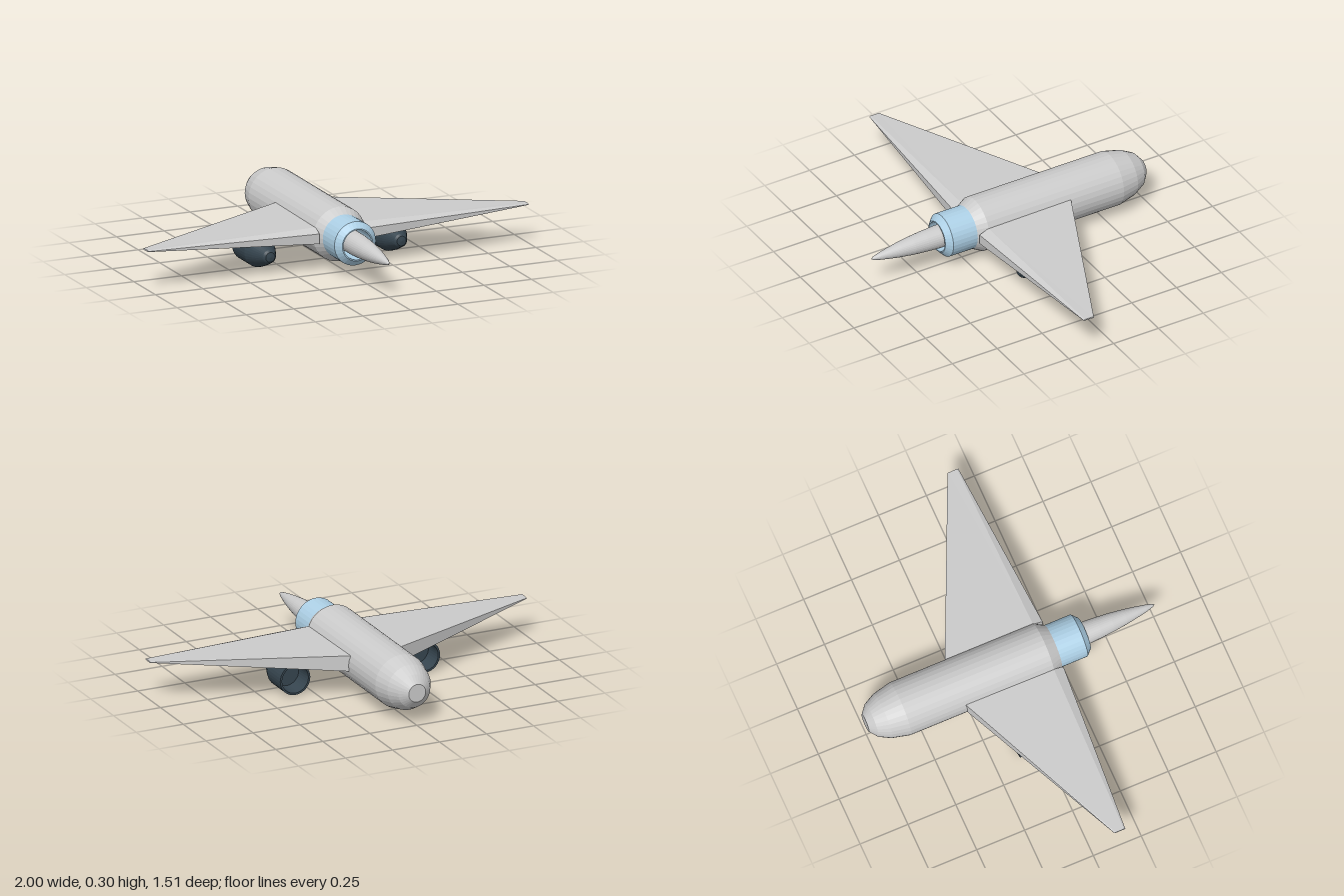
import * as THREE from 'three';

const AXIS_Y = 0.168;
const paint = (color, side = THREE.FrontSide) =>
  new THREE.MeshStandardMaterial({ color, side, flatShading: true });
const grey = paint(0xcccccc);
const blue = paint(0xadd0e6);
const dark = paint(0x36454f, THREE.DoubleSide);

// Round part along z; profile holds [radius, z] from back to front.
function turned(name, profile, material, x = 0, y = AXIS_Y, sides = 32) {
  const points = profile.map(([r, z]) => new THREE.Vector2(r, z));
  const geometry = new THREE.LatheGeometry(points, sides).rotateX(Math.PI / 2);
  const mesh = new THREE.Mesh(geometry, material);
  mesh.name = name;
  mesh.position.set(x, y, 0);
  return mesh;
}

// Wing lofted from a root section to a tip section of [y, z] points.
function wing(name, side) {
  const root = [[0.14, 0.17], [0.145, 0.225], [0.195, 0.225], [0.215, 0.175],
    [0.22, -0.285], [0.165, -0.285], [0.14, -0.285]];
  const tip = [[0.191, 0.118], [0.192, 0.165], [0.195, 0.167], [0.199, 0.16],
    [0.199, 0.116], [0.196, 0.11], [0.193, 0.11]];
  const n = root.length;
  const positions = [];
  for (const [x, section] of [[0.125, root], [1, tip]]) {
    for (const [y, z] of section) positions.push(side * x, y, z);
  }
  const index = [];
  const face = (a, b, c) => (side > 0 ? index.push(a, b, c) : index.push(a, c, b));
  for (let i = 0; i < n; i++) {
    const j = (i + 1) % n;
    face(i, n + i, n + j);
    face(i, n + j, j);
  }
  // Close the root and the tip
  for (let i = 1; i < n - 1; i++) {
    face(0, i, i + 1);
    face(n, n + i + 1, n + i);
  }
  const geometry = new THREE.BufferGeometry();
  geometry.setAttribute('position', new THREE.Float32BufferAttribute(positions, 3));
  geometry.setIndex(index);
  const flat = geometry.toNonIndexed();
  flat.computeVertexNormals();
  const mesh = new THREE.Mesh(flat, paint(0xcccccc, THREE.DoubleSide));
  mesh.name = name;
  return mesh;
}

export function createModel() {
  const model = new THREE.Group();
  model.name = 'aircraft';

  // Body with a domed, flat-ended tail
  model.add(turned('fuselage', [[0, -0.755], [0.045, -0.755], [0.085, -0.722],
    [0.115, -0.665], [0.136, -0.575], [0.136, 0.175], [0.109, 0.225], [0, 0.225]], grey));

  // Hollow intake ring around the spike
  model.add(turned('intakeRing', [[0.109, 0.22], [0.109, 0.36], [0.08, 0.388],
    [0.074, 0.388], [0.074, 0.22]], blue));

  // Pointed nose cone
  model.add(turned('noseSpike', [[0.056, 0.22], [0.056, 0.39], [0.052, 0.46], [0.046, 0.53],
    [0.037, 0.6], [0.027, 0.66], [0.017, 0.71], [0.008, 0.743], [0, 0.755]], grey));

  for (const [label, side] of [['left', 1], ['right', -1]]) {
    model.add(wing(label + 'Wing', side));
    // Engine pod with a rounded nose and an open, hollow back
    model.add(turned(label + 'Engine', [[0, -0.03], [0.065, -0.03], [0.07, -0.127],
      [0.08, -0.127], [0.08, 0.015], [0.064, 0.06], [0.046, 0.1], [0.034, 0.128],
      [0.024, 0.138], [0, 0.142]], dark, side * 0.345, 0.082));
  }
  return model;
}
